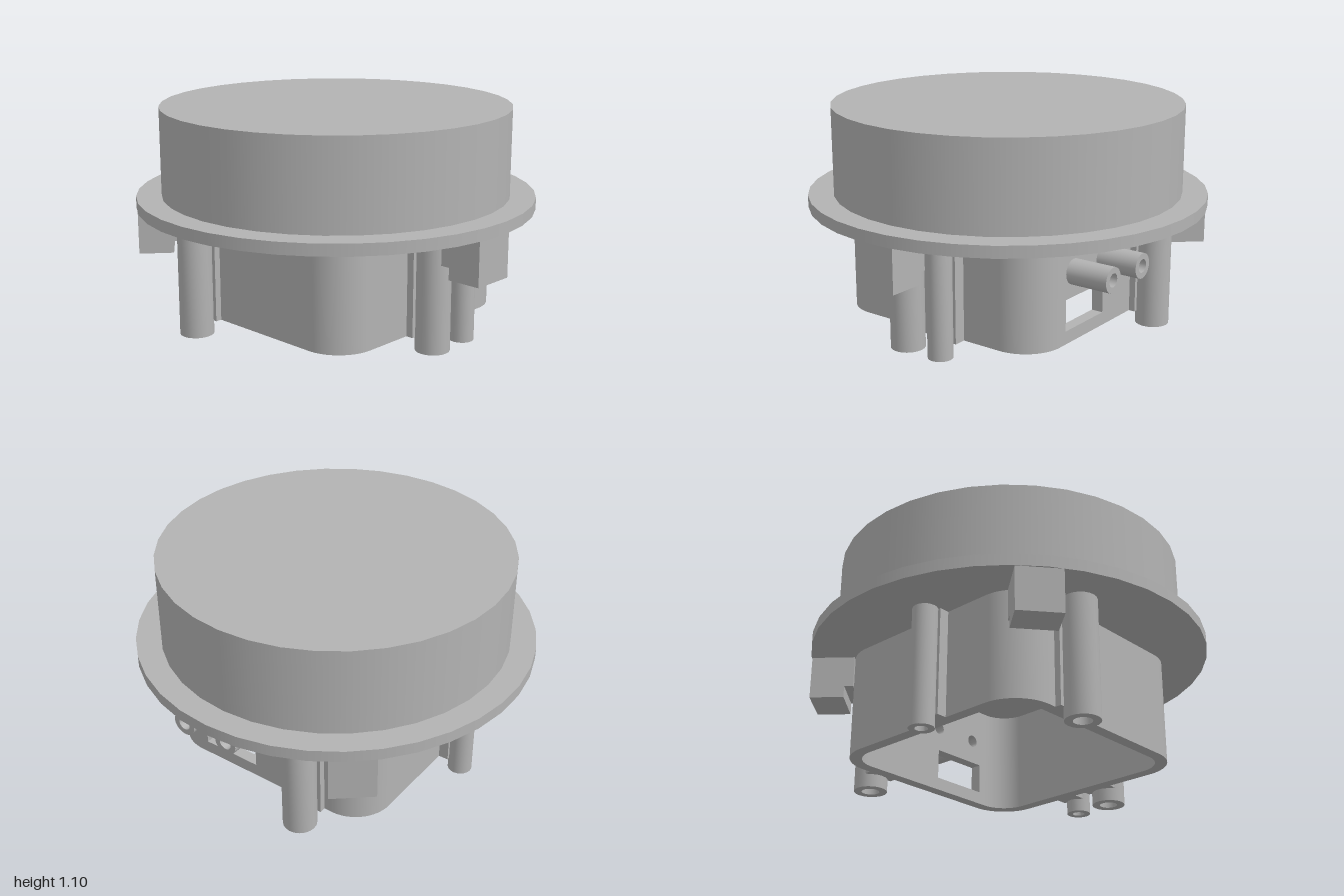
import * as THREE from 'three';
import { toCreasedNormals } from 'three/addons/utils/BufferGeometryUtils.js';

const HALF = 0.61, WALL = 0.06, CORNER = 0.2;
const BOTTOM = 0.065, PLATE = 0.598;

export function createModel() {
  const group = new THREE.Group();
  const grey = new THREE.MeshStandardMaterial({ color: 0xb3b3b3 });
  grey.name = 'plain grey';

  const add = (name, geometry, parent = group) => {
    const mesh = new THREE.Mesh(geometry, grey);
    mesh.name = name;
    parent.add(mesh);
    return mesh;
  };
  const extrude = (shape, depth) => toCreasedNormals(
    new THREE.ExtrudeGeometry(shape, { depth, bevelEnabled: false, curveSegments: 10 }), 0.6);
  const circle = (target, x, y, r, clockwise = false) =>
    target.absarc(x, y, r, 0, Math.PI * 2, clockwise);

  // Hollow round post along +z, from z = 0 to length
  const tube = (outer, inner, length) => {
    const ring = circle(new THREE.Shape(), 0, 0, outer);
    ring.holes.push(circle(new THREE.Path(), 0, 0, inner, true));
    return extrude(ring, length);
  };

  // Box given by its limits
  const block = (x0, x1, y0, y1, z0, z1) =>
    new THREE.BoxGeometry(x1 - x0, y1 - y0, z1 - z0)
      .translate((x0 + x1) / 2, (y0 + y1) / 2, (z0 + z1) / 2);

  // Drum and flange
  add('drum', new THREE.CylinderGeometry(0.875, 0.875, 0.442, 36).translate(0, 0.877, 0));
  add('flange', new THREE.CylinderGeometry(1, 1, 0.058, 38)
    .rotateY(Math.PI / 2).translate(0, 0.627, 0));

  // Open-bottomed housing: three sides and the four rounded corners
  const c = HALF - CORNER, inner = HALF - WALL, r = CORNER - WALL, q = Math.PI / 2;
  const shell = new THREE.Shape();
  shell.moveTo(inner, c);
  shell.lineTo(HALF, c);
  shell.absarc(c, c, CORNER, 0, q);
  shell.absarc(-c, c, CORNER, q, 2 * q);
  shell.absarc(-c, -c, CORNER, 2 * q, 3 * q);
  shell.absarc(c, -c, CORNER, 3 * q, 4 * q);
  shell.lineTo(inner, -c);
  shell.absarc(c, -c, r, 4 * q, 3 * q, true);
  shell.absarc(-c, -c, r, 3 * q, 2 * q, true);
  shell.absarc(-c, c, r, 2 * q, q, true);
  shell.absarc(c, c, r, q, 0, true);
  add('housingShell', extrude(shell, PLATE - BOTTOM).rotateX(-q).translate(0, BOTTOM, 0));

  // Remaining side wall with a window and two port holes (shape x is -z)
  const ports = [0.305, 0.05], portY = 0.41;
  const panel = new THREE.Shape();
  panel.moveTo(-c, BOTTOM);
  panel.lineTo(c, BOTTOM);
  panel.lineTo(c, PLATE);
  panel.lineTo(-c, PLATE);
  const window_ = new THREE.Path();
  window_.moveTo(-0.365, 0.13);
  window_.lineTo(-0.365, 0.285);
  window_.lineTo(-0.05, 0.285);
  window_.lineTo(-0.05, 0.13);
  panel.holes.push(window_);
  for (const z of ports) panel.holes.push(circle(new THREE.Path(), -z, portY, 0.033, true));
  add('windowWall', extrude(panel, WALL).rotateY(q).translate(inner, 0, 0));

  // Port tubes
  for (const z of ports) {
    add('portTube', tube(0.062, 0.033, 0.825 - HALF).rotateY(q).translate(HALF, portY, z));
  }

  // Hollow legs: x, z, outer radius, hole radius
  const legs = [
    [-0.695, -0.285, 0.084, 0.045], [0.695, -0.285, 0.084, 0.045], [-0.07, 0.7, 0.084, 0.045],
    [0.14, 0.71, 0.061, 0.031], [-0.11, -0.7, 0.061, 0.031],
  ];
  for (const [x, z, outer, hole] of legs) {
    const leg = new THREE.Group();
    leg.name = outer > 0.07 ? 'largeLeg' : 'smallLeg';
    leg.position.set(x, 0, z);
    // local +z points away from the housing
    leg.rotation.y = Math.abs(x) > Math.abs(z) ? Math.sign(x) * q : (z > 0 ? 0 : Math.PI);
    add('legTube', tube(outer, hole, PLATE).rotateX(-q), leg);
    // webs either side of the hole, joining leg to housing
    const reach = Math.max(Math.abs(x), Math.abs(z)) - HALF;
    add('legWeb', block(-outer, outer, BOTTOM, PLATE, -reach - 0.01, -hole - 0.008), leg);
    group.add(leg);
  }

  // Three clips under the flange
  for (const degrees of [0, 130, -130]) {
    const clip = new THREE.Group();
    clip.name = 'clip';
    clip.rotation.y = THREE.MathUtils.degToRad(degrees);
    add('clipBlock', block(-0.11, 0.11, 0.38, PLATE, 0.82, 0.99), clip);
    add('clipStep', block(-0.11, 0.11, 0.44, PLATE, 0.775, 0.82), clip);
    group.add(clip);
  }
  return group;
}
